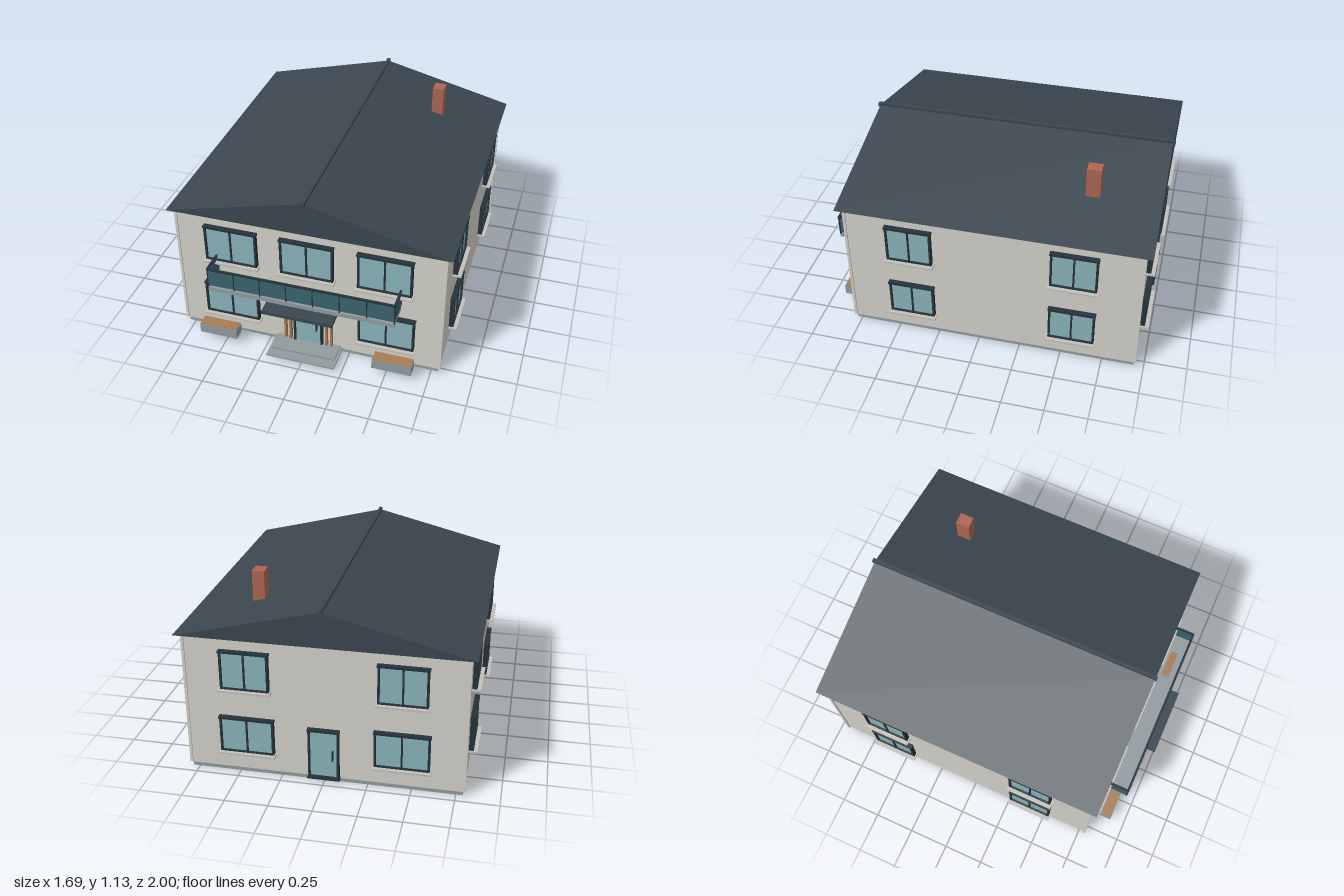
import * as THREE from 'three';

const mat = (name, color) => {
  const m = new THREE.MeshStandardMaterial({ color });
  m.name = name;
  return m;
};

export function createModel() {
  const house = new THREE.Group();
  house.name = 'house';

  const M = {
    wall: mat('plaster', 0xd2d0c8),
    sill: mat('sillStone', 0xc2c0b9),
    base: mat('concrete', 0x919b9f),
    roof: mat('slate', 0x3a464f),
    frame: mat('darkFrame', 0x26323a),
    glass: mat('windowGlass', 0x88b3ba),
    railGlass: mat('balconyGlass', 0x3a636e),
    brick: mat('brick', 0xab6551),
    wood: mat('wood', 0xa67d55),
  };

  // Box given by its extents on each axis
  const box = (parent, name, m, [x0, x1], [y0, y1], [z0, z1]) => {
    const mesh = new THREE.Mesh(new THREE.BoxGeometry(x1 - x0, y1 - y0, z1 - z0), m);
    mesh.position.set((x0 + x1) / 2, (y0 + y1) / 2, (z0 + z1) / 2);
    mesh.name = name;
    parent.add(mesh);
    return mesh;
  };

  const WX = 0.795, ZF = 0.785, ZB = -0.945;

  // Body
  box(house, 'foundation', M.base, [-0.79, 0.79], [0, 0.03], [-0.94, 0.78]);
  box(house, 'walls', M.wall, [-WX, WX], [0.025, 0.862], [ZB, ZF]);
  for (const sx of [-1, 1])
    for (const z of [ZF, ZB]) {
      const x = sx * 0.797;
      box(house, 'cornerTrim', M.wall, [x - 0.008, x + 0.008], [0.03, 0.86], [z - 0.008, z + 0.008]);
    }

  // Gable roof, ridge and chimney
  const gable = new THREE.Shape([
    new THREE.Vector2(-0.837, 0.858), new THREE.Vector2(0.837, 0.858), new THREE.Vector2(0, 1.066),
  ]);
  const roof = new THREE.Mesh(new THREE.ExtrudeGeometry(gable, { depth: 1.815, bevelEnabled: false }), M.roof);
  roof.position.z = -0.988;
  roof.name = 'roof';
  house.add(roof);
  box(house, 'ridgeCap', M.roof, [-0.011, 0.011], [1.055, 1.08], [-1, 0.838]);
  box(house, 'chimney', M.brick, [0.405, 0.477], [0.9, 1.13], [-0.637, -0.553]);

  // Group on a wall whose local +z points out of it
  const onWall = (name, x, z, turn) => {
    const g = new THREE.Group();
    g.name = name;
    g.position.set(x, 0, z);
    g.rotation.y = turn;
    house.add(g);
    return g;
  };

  // Frame of four bars around a pane
  const framedPane = (g, w, y0, y1) => {
    const h = w / 2, t = 0.012;
    box(g, 'pane', M.glass, [-h + 0.004, h - 0.004], [y0 + 0.004, y1 - 0.004], [0, 0.016]);
    for (const s of [-1, 1]) {
      const x = s * (h - t / 2);
      box(g, 'frameSide', M.frame, [x - t / 2, x + t / 2], [y0, y1], [0, 0.028]);
    }
    box(g, 'frameBottom', M.frame, [-h, h], [y0, y0 + 0.01], [0, 0.028]);
    box(g, 'frameHead', M.frame, [-h - 0.004, h + 0.004], [y1 - 0.013, y1], [0, 0.031]);
  };

  const addWindow = (x, z, turn, w, [y0, y1]) => {
    const g = onWall('window', x, z, turn);
    framedPane(g, w, y0, y1);
    box(g, 'mullion', M.frame, [-0.005, 0.005], [y0, y1], [0, 0.025]);
    box(g, 'sill', M.sill, [-w / 2 - 0.01, w / 2 + 0.01], [y0 - 0.009, y0 + 0.002], [0, 0.051]);
  };

  const addDoor = (z, turn) => {
    const g = onWall('door', 0, z, turn);
    framedPane(g, 0.178, 0.03, 0.34);
    box(g, 'threshold', M.frame, [-0.094, 0.094], [0.022, 0.034], [0, 0.034]);
    box(g, 'handle', M.frame, [0.052, 0.058], [0.155, 0.215], [0.016, 0.04]);
  };

  const LOW = [0.142, 0.365], HIGH = [0.543, 0.78];

  // Front windows
  for (const x of [-0.46, 0, 0.46]) addWindow(x, ZF, 0, 0.318, HIGH);
  for (const x of [-0.475, 0.475]) addWindow(x, ZF, 0, 0.336, LOW);
  // Back windows
  for (const x of [-0.445, 0.445]) {
    addWindow(x, ZB, Math.PI, 0.28, HIGH);
    addWindow(x, ZB, Math.PI, 0.315, LOW);
  }
  // Side windows
  for (const s of [-1, 1])
    for (const z of [0.402, -0.562])
      for (const level of [LOW, HIGH]) addWindow(s * WX, z, s * Math.PI / 2, 0.272, level);

  addDoor(ZF, 0);
  addDoor(ZB, Math.PI);

  // Entrance: steps, canopy and paired posts
  box(house, 'lowerStep', M.base, [-0.21, 0.21], [0.027, 0.037], [ZF, 0.97]);
  box(house, 'upperStep', M.base, [-0.195, 0.195], [0.037, 0.047], [ZF, 0.91]);
  box(house, 'canopy', M.roof, [-0.211, 0.211], [0.378, 0.399], [ZF, 1]);
  for (const s of [-1, 1])
    for (const x of [0.112, 0.143])
      box(house, 'porchPost', M.wood, [s * x - 0.006, s * x + 0.006], [0.045, 0.428], [ZF, 0.811]);

  // Balcony with glass railing
  const balcony = new THREE.Group();
  balcony.name = 'balcony';
  house.add(balcony);
  const BX = 0.555, BZ = 0.938;
  box(balcony, 'slab', M.base, [-BX, BX], [0.425, 0.452], [ZF, 0.945]);
  box(balcony, 'frontGlass', M.railGlass, [-BX, BX], [0.462, 0.564], [BZ - 0.004, BZ + 0.004]);
  box(balcony, 'frontRail', M.frame, [-BX - 0.004, BX + 0.004], [0.57, 0.58], [BZ - 0.007, BZ + 0.007]);
  for (let i = 0; i < 8; i++) {
    const x = -BX + (i * 2 * BX) / 7;
    box(balcony, 'railPost', M.frame, [x - 0.003, x + 0.003], [0.45, 0.573], [BZ - 0.005, BZ + 0.006]);
  }
  for (const s of [-1, 1]) {
    const x = s * BX;
    box(balcony, 'sideGlass', M.railGlass, [x - 0.003, x + 0.003], [0.462, 0.56], [ZF, BZ]);
    box(balcony, 'sideRail', M.frame, [x - 0.006, x + 0.006], [0.57, 0.58], [ZF, BZ]);
  }
  box(balcony, 'planterBox', M.base, [0.255, 0.443], [0.45, 0.464], [0.842, 0.904]);
  box(balcony, 'planterTop', M.wood, [0.263, 0.435], [0.46, 0.467], [0.85, 0.896]);

  // Ground planters
  for (const s of [-1, 1]) {
    const x = s * 0.538;
    box(house, 'planterBox', M.base, [x - 0.118, x + 0.118], [0.047, 0.11], [0.835, 0.91]);
    box(house, 'planterTop', M.wood, [x - 0.114, x + 0.114], [0.108, 0.115], [0.839, 0.906]);
  }

  return house;
}
